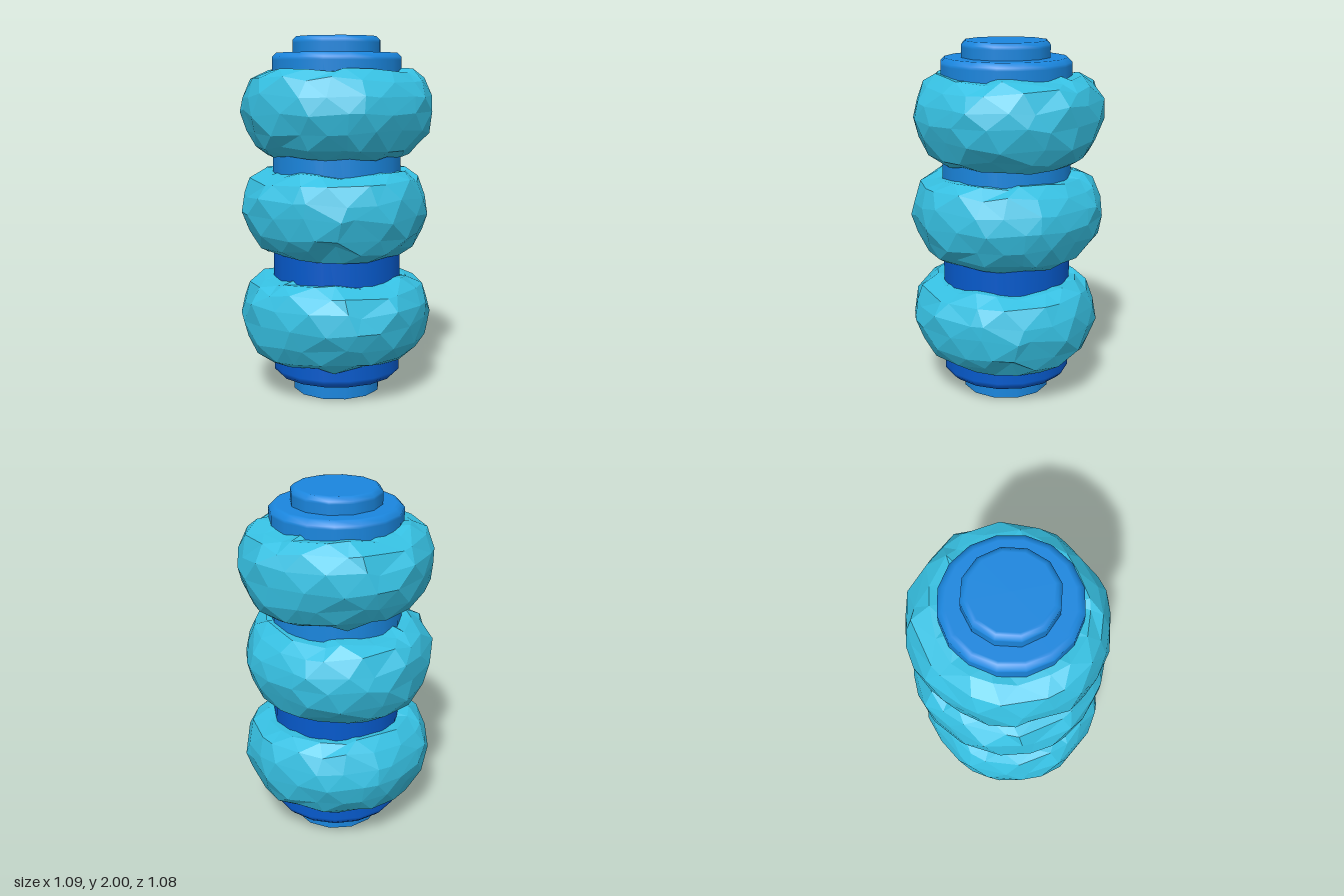
import * as THREE from 'three';

function seeded(seed) {
  let s = seed;
  return () => {
    s = (s * 16807) % 2147483647;
    return s / 2147483647;
  };
}

// One rough stone ring: a barrel profile swept round with jittered corners
function rockRingGeometry() {
  const random = seeded(4127);
  const jitter = (amount) => (random() * 2 - 1) * amount;
  const profile = [
    [0.30, -0.232], [0.385, -0.23], [0.455, -0.18], [0.505, -0.095], [0.53, 0.005],
    [0.521, 0.1], [0.48, 0.185], [0.405, 0.23], [0.30, 0.238],
  ];
  const columns = 19;
  const rows = profile.length;
  const positions = [];
  const indices = [];
  profile.forEach(([radius, height], row) => {
    for (let i = 0; i < columns; i++) {
      const angle = ((i + (row % 2) * 0.5 + jitter(0.32)) / columns) * Math.PI * 2;
      // A chip is missing from the underside on one side
      const chip = row === 2 ? 0.05 * Math.exp(-(((angle - 1.32) / 0.3) ** 2)) : 0;
      // The ring is slightly wider across x and leans off centre
      const lobe = 0.007 * Math.cos(angle) - 0.006 * Math.sin(angle) - 0.009 * Math.cos(2 * angle);
      const r = radius + lobe + jitter(0.012);
      const y = height + chip + jitter(0.017);
      positions.push(Math.sin(angle) * r, y, Math.cos(angle) * r);
    }
  });
  for (let row = 0; row < rows - 1; row++) {
    for (let i = 0; i < columns; i++) {
      const next = (i + 1) % columns;
      const a = row * columns + i, b = row * columns + next;
      const d = a + columns, c = b + columns;
      if (row % 2) indices.push(a, b, c, a, c, d);
      else indices.push(a, b, d, b, c, d);
    }
  }
  const indexed = new THREE.BufferGeometry();
  indexed.setAttribute('position', new THREE.Float32BufferAttribute(positions, 3));
  indexed.setIndex(indices);
  const geometry = indexed.toNonIndexed(); // separate faces keep the facets flat
  geometry.computeVertexNormals();
  return geometry;
}

export function createModel() {
  const model = new THREE.Group();
  model.name = 'stackedRockColumn';

  const material = (name, color) => {
    const m = new THREE.MeshStandardMaterial({ color });
    m.name = name;
    return m;
  };
  const rock = material('cyanRock', 0x36c0e2);
  const blue = material('blue', 0x1a86de);
  const deepBlue = material('deepBlue', 0x065acc);

  const add = (name, geometry, mat, y = 0, z = 0) => {
    const mesh = new THREE.Mesh(geometry, mat);
    mesh.name = name;
    mesh.position.set(0, y, z);
    model.add(mesh);
    return mesh;
  };
  const lathe = (points, sides) =>
    new THREE.LatheGeometry(points.map(([x, y]) => new THREE.Vector2(x, y)), sides);

  // Core drum, darker in its lower half, with bevelled rims
  add('lowerCore', lathe([
    [0, 0.1], [0.32, 0.1], [0.338, 0.1], [0.362, 0.124], [0.362, 0.14], [0.362, 1.03],
  ], 16), deepBlue, 0, 0.005);
  add('upperCore', lathe([
    [0.362, 1.03], [0.362, 1.87], [0.362, 1.886], [0.338, 1.91], [0.32, 1.91], [0, 1.91],
  ], 16), blue, 0, 0.005);

  // Narrow end discs
  add('topCap', lathe([
    [0.248, 1.9], [0.248, 1.965], [0.248, 1.98], [0.228, 2], [0.212, 2], [0, 2],
  ], 12), blue, 0, 0.005);
  add('bottomFoot', new THREE.CylinderGeometry(0.248, 0.248, 0.11, 12), blue, 0.055, 0.005);

  // Three rock rings, each a quarter turn on from the one below
  const ring = rockRingGeometry();
  ['lowerRockRing', 'middleRockRing', 'upperRockRing'].forEach((name, i) => {
    const mesh = add(name, ring, rock, [0.437, 1.033, 1.583][i]);
    mesh.rotation.y = -i * Math.PI / 2;
  });

  return model;
}
